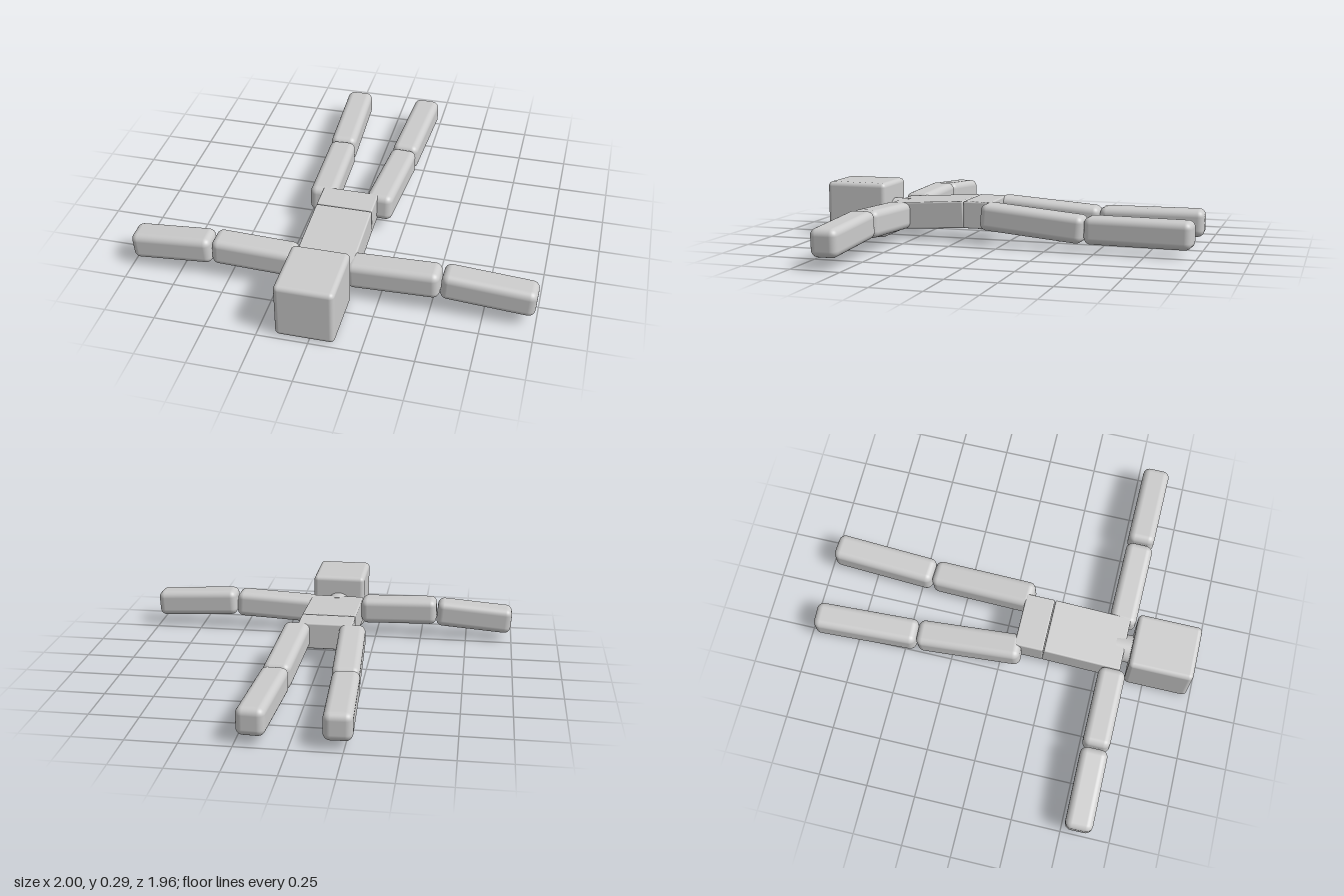
import * as THREE from 'three';
import { RoundedBoxGeometry } from 'three/addons/geometries/RoundedBoxGeometry.js';

const material = new THREE.MeshStandardMaterial({ color: 0xcccccc });

// Rounded bar whose length runs between the centres of its two end faces
function bar(name, from, to, width, height, radius) {
  const a = new THREE.Vector3(...from);
  const b = new THREE.Vector3(...to);
  const mesh = new THREE.Mesh(new RoundedBoxGeometry(width, height, a.distanceTo(b), 4, radius), material);
  mesh.name = name;
  mesh.position.copy(a).add(b).multiplyScalar(0.5);
  mesh.lookAt(b);
  return mesh;
}

export function createModel() {
  const model = new THREE.Group();
  model.name = 'lyingFigure';

  // Head, torso and pelvis along z
  model.add(
    bar('head', [-0.023, 0.149, 0.652], [-0.023, 0.149, 0.98], 0.286, 0.288, 0.024),
    bar('torso', [-0.023, 0.149, 0.217], [-0.023, 0.125, 0.615], 0.286, 0.14, 0.008),
    bar('pelvis', [-0.023, 0.149, 0.068], [-0.023, 0.149, 0.217], 0.286, 0.14, 0.008),
  );

  // Neck
  const neck = new THREE.Mesh(new THREE.CylinderGeometry(0.071, 0.071, 0.12, 32), material);
  neck.name = 'neck';
  neck.rotation.x = Math.PI / 2;
  neck.position.set(-0.023, 0.13, 0.63);
  model.add(neck);

  // Arms and legs: slightly different pose on each side
  const limbs = [
    ['rightUpperArm', [-0.165, 0.139, 0.582], [-0.583, 0.15, 0.58]],
    ['rightForearm', [-0.587, 0.145, 0.58], [-0.996, 0.113, 0.583]],
    ['leftUpperArm', [0.09, 0.128, 0.579], [0.54, 0.148, 0.585]],
    ['leftForearm', [0.546, 0.153, 0.583], [0.996, 0.128, 0.589]],
    ['rightThigh', [-0.165, 0.153, 0.105], [-0.192, 0.109, -0.435]],
    ['rightShin', [-0.196, 0.112, -0.439], [-0.221, 0.112, -0.978]],
    ['leftThigh', [0.125, 0.153, 0.105], [0.15, 0.109, -0.435]],
    ['leftShin', [0.15, 0.112, -0.439], [0.177, 0.112, -0.978]],
  ];
  for (const [name, from, to] of limbs) model.add(bar(name, from, to, 0.138, 0.138, 0.035));

  return model;
}
